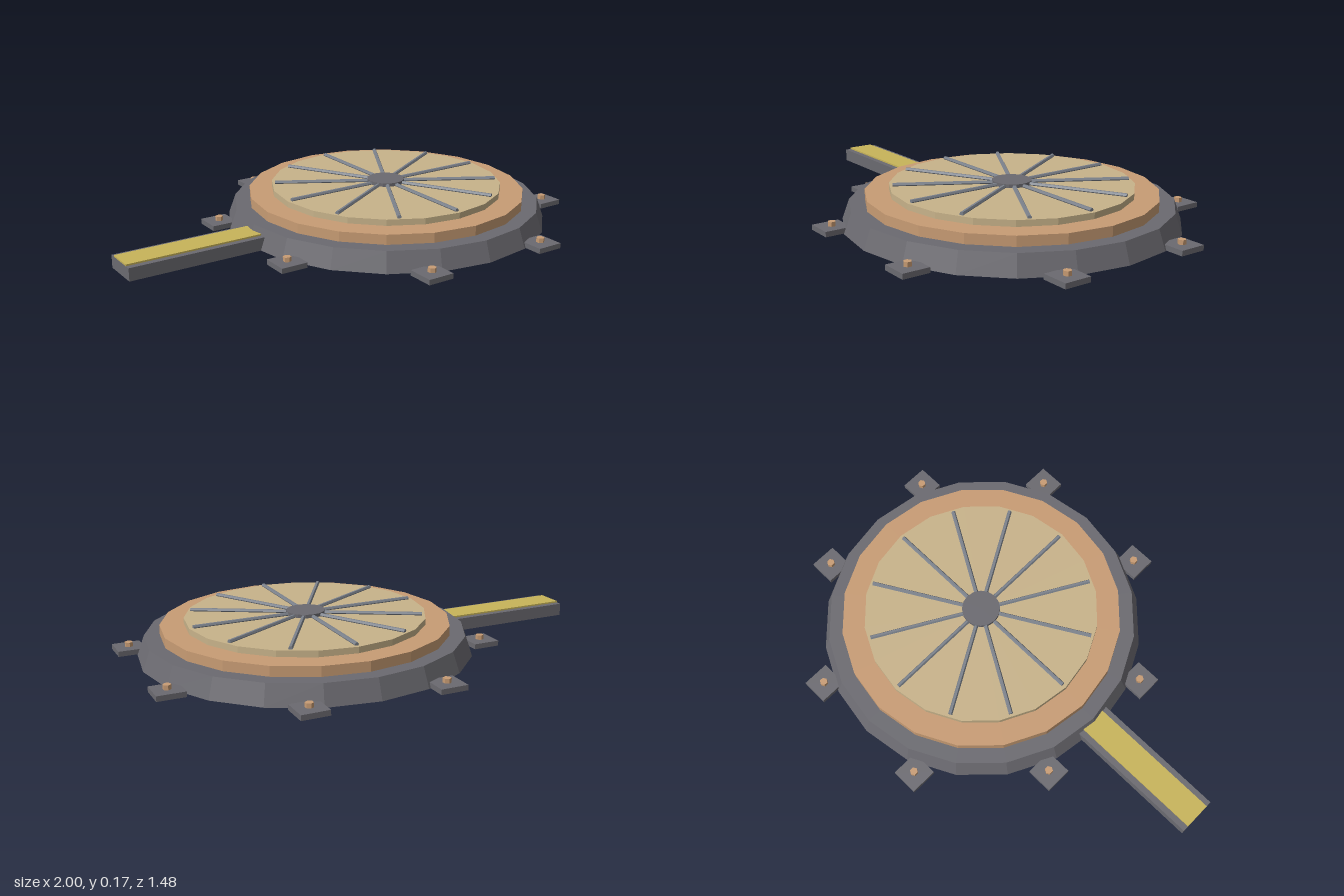
import * as THREE from 'three';

const flat = (name, color) => {
  const m = new THREE.MeshStandardMaterial({ color });
  m.name = name;
  return m;
};

export function createModel() {
  const model = new THREE.Group();
  const iron = flat('dark iron', 0x6b6a70);
  const steel = flat('spoke steel', 0x7c828c);
  const copper = flat('copper', 0xc89c74);
  const sand = flat('sand', 0xc8b38a);
  const yellow = flat('yellow', 0xc8b45a);

  const add = (parent, name, geometry, material, x, y, z) => {
    const mesh = new THREE.Mesh(geometry, material);
    mesh.name = name;
    mesh.position.set(x, y, z);
    parent.add(mesh);
    return mesh;
  };

  // Faceted cylinder spanning y0 to y1
  const disc = (parent, name, rTop, rBottom, y0, y1, sides, material, x = 0, z = 0) => {
    const g = new THREE.CylinderGeometry(rTop, rBottom, y1 - y0, sides).toNonIndexed();
    g.computeVertexNormals();
    return add(parent, name, g, material, x, (y0 + y1) / 2, z);
  };

  // Round platform, offset from the arm
  const platform = new THREE.Group();
  platform.name = 'platform';
  platform.position.x = 0.257;
  model.add(platform);
  disc(platform, 'base', 0.67, 0.7, 0, 0.084, 20, iron);
  disc(platform, 'copperRing', 0.605, 0.605, 0.084, 0.126, 20, copper);
  disc(platform, 'topDisc', 0.505, 0.505, 0.126, 0.152, 20, sand);
  disc(platform, 'hub', 0.082, 0.082, 0.152, 0.167, 16, iron);

  // Twelve radial spokes
  const rod = new THREE.CylinderGeometry(0.009, 0.009, 0.44, 6).toNonIndexed();
  rod.rotateZ(Math.PI / 2);
  rod.computeVertexNormals();
  for (let i = 0; i < 12; i++) {
    const a = i * Math.PI / 6;
    const spoke = add(platform, 'spoke', rod, steel, Math.cos(a) * 0.268, 0.156, -Math.sin(a) * 0.268);
    spoke.rotation.y = a;
  }

  // Eight square feet with bolts
  const pad = new THREE.BoxGeometry(0.116, 0.022, 0.116);
  for (let i = 0; i < 8; i++) {
    const a = (i + 0.5) * Math.PI / 4;
    const x = Math.cos(a) * 0.74, z = Math.sin(a) * 0.74;
    add(platform, 'foot', pad, iron, x, 0.011, z);
    disc(platform, 'bolt', 0.017, 0.017, 0.022, 0.041, 6, copper, x, z);
  }

  // Side arm with a yellow strip on top
  add(model, 'arm', new THREE.BoxGeometry(0.62, 0.054, 0.166), iron, -0.69, 0.027, 0);
  add(model, 'armStrip', new THREE.BoxGeometry(0.62, 0.007, 0.116), yellow, -0.69, 0.0575, 0);

  return model;
}
